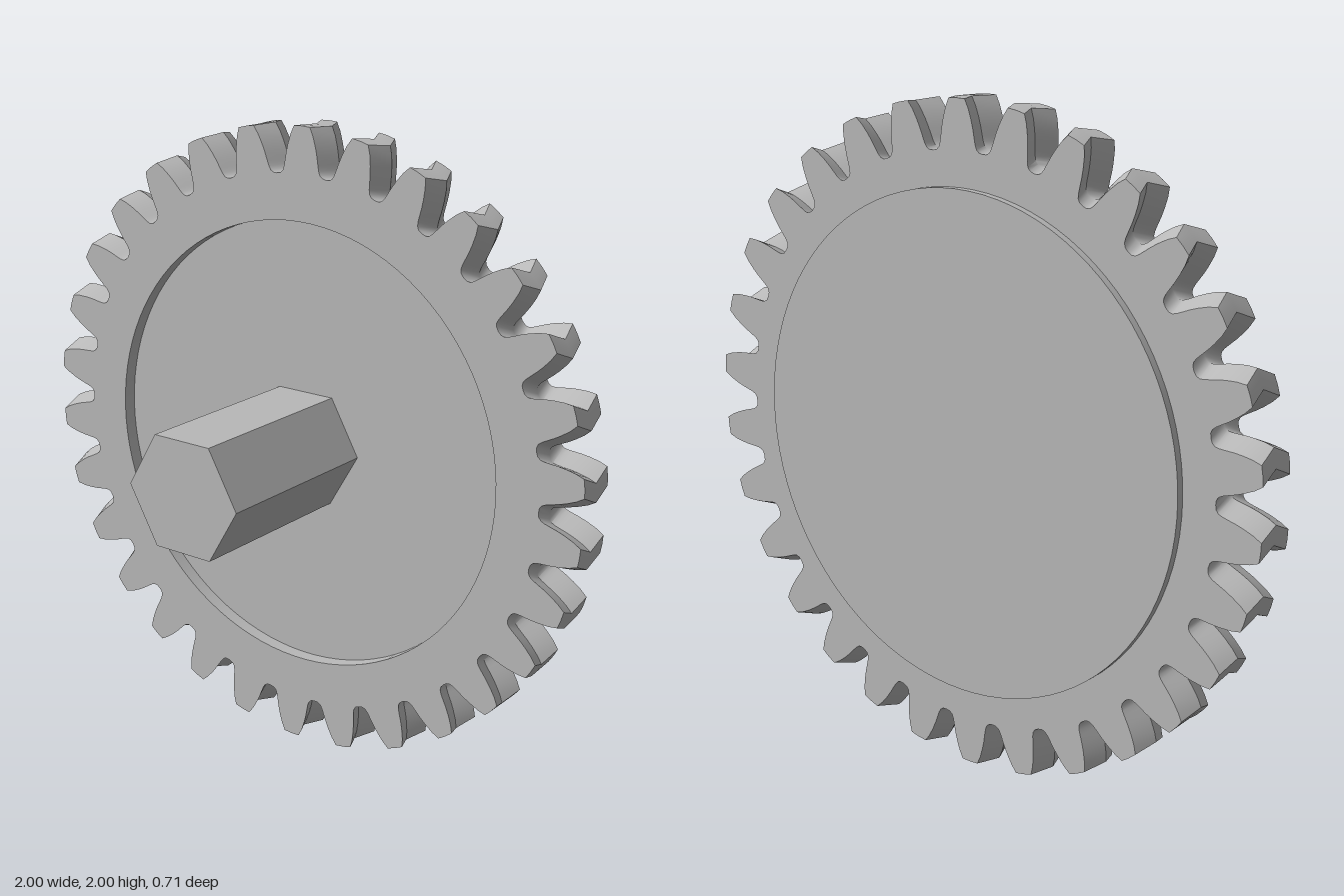
import * as THREE from 'three';
import { toCreasedNormals } from 'three/addons/utils/BufferGeometryUtils.js';

const TEETH = 30, STEP = 360 / TEETH;
const FRONT = -0.195, BACK = -0.332, FLOOR = -0.24, END = 0.356;
const TWIST = -1.8; // degrees the middle of each tooth leads its ends
const RECESS_R = 0.716, DISC_R = 0.755;

// Half a tooth from root to tip: [degrees from tooth centre, radius]
const HALF_TOOTH = [
  [5.1, 0.859], [4.5, 0.866], [4.15, 0.878], [3.9, 0.893],
  [3.5, 0.92], [3.05, 0.945], [2.4, 0.975], [1.65, 1],
];

// Full toothed outline, counter-clockwise
function outline(offset) {
  const tooth = [
    [-6, 0.857],
    ...HALF_TOOTH.map(([a, r]) => [-a, r]),
    [0, 1.001],
    ...HALF_TOOTH.slice().reverse(),
  ];
  const points = [];
  for (let k = 0; k < TEETH; k++) {
    for (const [a, r] of tooth) {
      const t = THREE.MathUtils.degToRad(89.4 + offset + k * STEP + a);
      points.push(new THREE.Vector2(Math.cos(t) * r, Math.sin(t) * r));
    }
  }
  return points;
}

// Herringbone tooth surface: three rings, the middle one twisted
function toothSurface() {
  const rings = [[FRONT, 0], [(FRONT + BACK) / 2, TWIST], [BACK, 0]];
  const pos = [], index = [];
  let n = 0;
  for (const [z, twist] of rings) {
    const ring = outline(twist);
    n = ring.length;
    for (const p of ring) pos.push(p.x, p.y, z);
  }
  for (let r = 0; r < rings.length - 1; r++) {
    for (let i = 0; i < n; i++) {
      const a = r * n + i, b = r * n + (i + 1) % n;
      index.push(a, a + n, b, b, a + n, b + n);
    }
  }
  const g = new THREE.BufferGeometry();
  g.setAttribute('position', new THREE.Float32BufferAttribute(pos, 3));
  g.setIndex(index);
  return toCreasedNormals(g, 0.62);
}

export function createModel() {
  const group = new THREE.Group();
  group.name = 'herringboneGear';
  const grey = new THREE.MeshStandardMaterial({ color: 0xb8b8b8 });
  grey.name = 'grey';

  const add = (name, geometry, z = 0) => {
    const mesh = new THREE.Mesh(geometry, grey);
    mesh.name = name;
    mesh.position.set(0, 1, z);
    group.add(mesh);
  };

  add('gearTeeth', toothSurface());

  // Front face with a round opening for the recess
  const face = new THREE.Shape(outline(0));
  face.holes.push(new THREE.Path().absarc(0, 0, RECESS_R, 0, Math.PI * 2, true));
  add('frontFace', new THREE.ShapeGeometry(face, 48), FRONT);

  // Shallow recess
  const wall = new THREE.LatheGeometry(
    [new THREE.Vector2(RECESS_R, FRONT), new THREE.Vector2(RECESS_R, FLOOR)], 96);
  add('recessWall', wall.rotateX(Math.PI / 2));
  add('recessFloor', new THREE.CircleGeometry(RECESS_R, 96), FLOOR);

  // Back face, drawn mirrored and turned round
  const backFace = new THREE.Shape(outline(0).map((p) => new THREE.Vector2(-p.x, p.y)));
  add('backFace', new THREE.ShapeGeometry(backFace).rotateY(Math.PI), BACK);

  // Raised disc on the back
  const discDepth = END + BACK;
  add('backDisc', new THREE.CylinderGeometry(DISC_R, DISC_R, discDepth, 96).rotateX(Math.PI / 2),
    BACK - discDepth / 2);

  // Hexagonal shaft with corners to the left and right
  const hex = new THREE.Shape();
  for (let i = 0; i < 6; i++) {
    const t = i * Math.PI / 3;
    hex[i ? 'lineTo' : 'moveTo'](Math.cos(t) * 0.2, Math.sin(t) * 0.2);
  }
  hex.closePath();
  add('hexShaft', new THREE.ExtrudeGeometry(hex, { depth: END - FLOOR, bevelEnabled: false }), FLOOR);

  return group;
}
